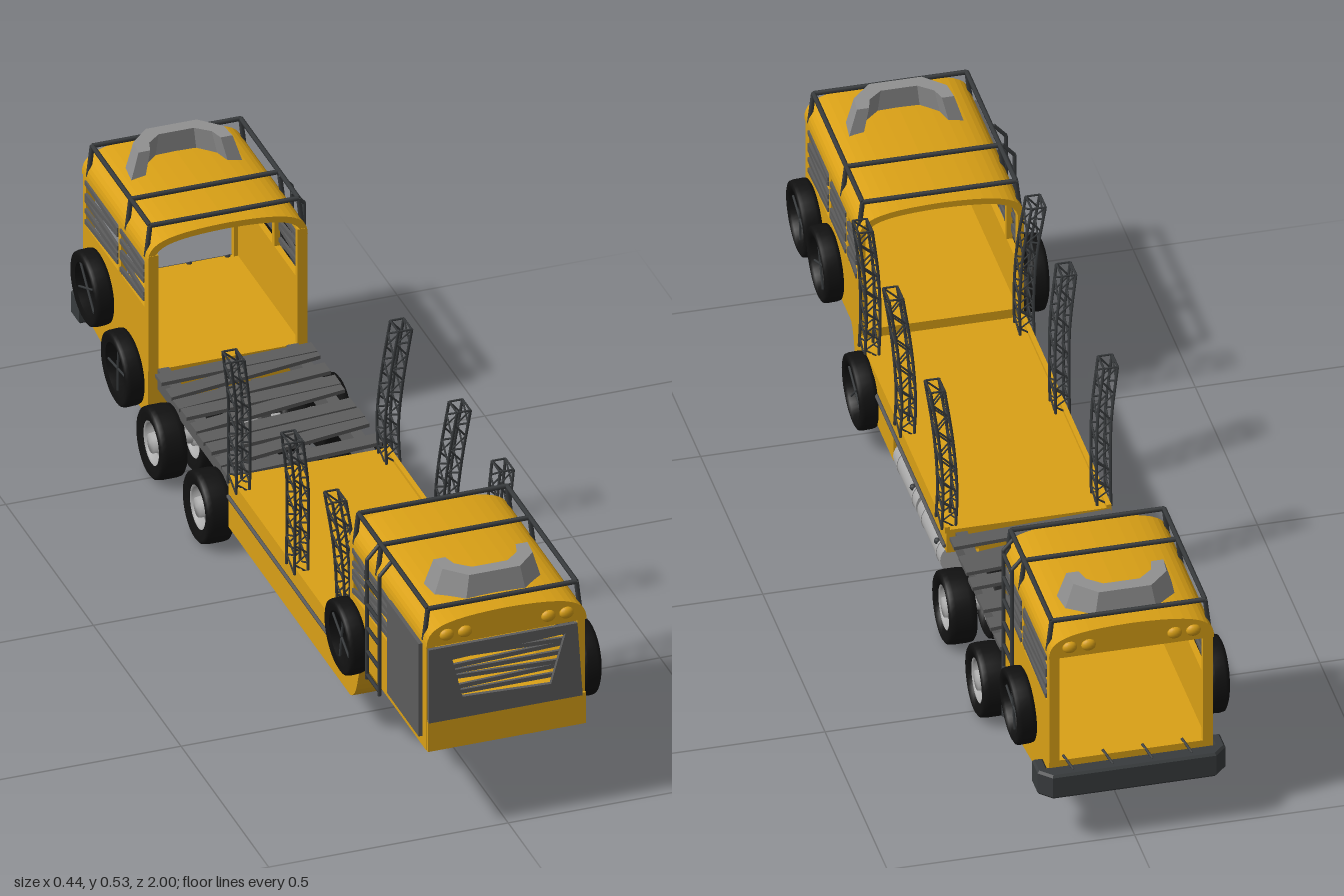
import * as THREE from 'three';
import { mergeGeometries } from 'three/addons/utils/BufferGeometryUtils.js';

const mat = (color) => new THREE.MeshStandardMaterial({ color, side: THREE.DoubleSide });
const YELLOW = mat(0xd9a016), STEEL = mat(0x5c5c5c), DARK = mat(0x383b3d), RUBBER = mat(0x111111), PALE = mat(0xaaaaaa);
const V = (x, y, z) => new THREE.Vector3(x, y, z);

export function createModel() {
  const model = new THREE.Group();
  const add = (name, geo, material) => {
    const m = new THREE.Mesh(geo, material);
    m.name = name;
    model.add(m);
    return m;
  };
  const box = (x0, x1, y0, y1, z0, z1) =>
    new THREE.BoxGeometry(x1 - x0, y1 - y0, z1 - z0).translate((x0 + x1) / 2, (y0 + y1) / 2, (z0 + z1) / 2);
  const rod = (a, b, r = 0.004, sides = 6) => {
    const d = b.clone().sub(a), g = new THREE.CylinderGeometry(r, r, d.length(), sides);
    g.applyQuaternion(new THREE.Quaternion().setFromUnitVectors(V(0, 1, 0), d.normalize()));
    return g.translate((a.x + b.x) / 2, (a.y + b.y) / 2, (a.z + b.z) / 2);
  };
  const poly = (pts) => new THREE.Shape(pts.map((p) => new THREE.Vector2(p[0], p[1])));
  const rect = (a, b, c, d) => [[a, c], [b, c], [b, d], [a, d]];
  // outline given as (z, y), extruded across x from x0 to x1
  const sideExtrude = (shape, x0, x1) =>
    new THREE.ExtrudeGeometry(shape, { depth: x1 - x0, bevelEnabled: false, curveSegments: 10 })
      .rotateY(-Math.PI / 2).translate(x1, 0, 0);

  // low deck with curved gooseneck running under the front cab
  const deck = new THREE.Shape();
  deck.moveTo(0.99, 0.19);
  deck.lineTo(0.63, 0.19);
  deck.bezierCurveTo(0.59, 0.18, 0.6, 0.09, 0.55, 0.077);
  [[0.28, 0.077], [0.28, 0.137], [-0.145, 0.137], [-0.145, 0.19], [0.55, 0.19], [0.55, 0.21], [0.99, 0.21]]
    .forEach((p) => deck.lineTo(p[0], p[1]));
  add('deck', sideExtrude(deck, -0.165, 0.165), YELLOW);
  add('lowerDeck', box(-0.165, 0.1, 0.077, 0.137, -0.145, 0.28), YELLOW);
  for (const s of [-1, 1]) {
    add('deckRim', box(s * 0.163 - 0.005, s * 0.163 + 0.005, 0.183, 0.197, -0.145, 0.55), YELLOW);
    add('deckRail', rod(V(s * 0.168, 0.15, -0.14), V(s * 0.168, 0.15, 0.53), 0.004), STEEL);
  }
  add('kingpin', mergeGeometries([
    new THREE.CylinderGeometry(0.008, 0.008, 0.03, 12).translate(0, 0.175, 0.93),
    new THREE.CylinderGeometry(0.03, 0.03, 0.006, 20).translate(0, 0.188, 0.93)]), PALE);

  // side tanks
  for (const z of [0.17, -0.025]) {
    add('tank', new THREE.CylinderGeometry(0.036, 0.036, 0.184, 24).rotateX(Math.PI / 2).translate(0.135, 0.101, z), PALE);
    for (const e of [-0.06, 0.06])
      add('tankBand', new THREE.CylinderGeometry(0.0375, 0.0375, 0.006, 24).rotateX(Math.PI / 2).translate(0.135, 0.101, z + e), PALE);
    add('tankCap', new THREE.SphereGeometry(0.007, 10, 8).translate(0.166, 0.12, z - 0.05), DARK);
  }

  // cab walls, with window holes
  const walls = (outline, windows) => {
    for (const s of [-1, 1]) {
      const shape = poly(outline);
      for (const [a, b] of windows) shape.holes.push(poly(rect(a, b, 0.315, 0.42)));
      add('sideWall', sideExtrude(shape, s * 0.16 - 0.006, s * 0.16 + 0.006), YELLOW);
      // crooked window slats
      for (const [a, b] of windows)
        for (let i = 0; i < 5; i++) {
          const y = 0.33 + i * 0.02, t = 0.006 * Math.sin(i * 2.3 + a * 9);
          const slat = poly([[a, y - 0.004 + t], [b, y - 0.004 - t], [b, y + 0.006 - t], [a, y + 0.006 + t]]);
          add('windowSlat', sideExtrude(slat, s * 0.166 - 0.003, s * 0.166 + 0.003), STEEL);
        }
    }
  };
  // arched roof shell, closed with a lamp panel at the outer end
  const roof = (z0, z1, dir) => {
    const arch = (close) => {
      const s = new THREE.Shape();
      s.moveTo(-0.167, 0.425);
      s.bezierCurveTo(-0.167, 0.465, -0.14, 0.483, 0, 0.485);
      s.bezierCurveTo(0.14, 0.483, 0.167, 0.465, 0.167, 0.425);
      if (!close) {
        s.lineTo(0.155, 0.425);
        s.bezierCurveTo(0.15, 0.455, 0.13, 0.47, 0, 0.472);
        s.bezierCurveTo(-0.13, 0.47, -0.15, 0.455, -0.155, 0.425);
      }
      return s;
    };
    const ext = (s, a, b) => new THREE.ExtrudeGeometry(s, { depth: b - a, bevelEnabled: false, curveSegments: 12 }).translate(0, 0, a);
    add('roof', ext(arch(false), z0, z1), YELLOW);
    const end = dir > 0 ? z1 : z0;
    add('lampPanel', ext(arch(true), end - 0.006, end + 0.006), YELLOW);
    for (const x of [-0.125, -0.087, 0.087, 0.125])
      add('lamp', new THREE.SphereGeometry(0.015, 16, 10).scale(1, 0.85, 0.6).translate(x, 0.448, end + dir * 0.006), YELLOW);

    // roof rack
    const a = z0 + 0.02, b = z1 - 0.02, bars = [];
    const cross = dir > 0 ? z0 + 0.15 : z1 - 0.13;
    for (const s of [-1, 1]) {
      bars.push(rod(V(s * 0.155, 0.498, a), V(s * 0.155, 0.498, b), 0.005));
      for (const z of [a, cross, b]) bars.push(rod(V(s * 0.155, 0.498, z), V(s * 0.163, 0.43, z), 0.005));
    }
    for (const z of [a, cross, b]) bars.push(rod(V(-0.155, 0.498, z), V(0.155, 0.498, z), 0.005));
    add('roofRack', mergeGeometries(bars), DARK);

    // U-shaped roof scoop, narrowing towards the top
    const u = new THREE.Shape();
    [[-0.12, -0.05], [-0.115, 0], [-0.065, 0.05], [0.065, 0.05], [0.115, 0], [0.12, -0.05],
      [0.09, -0.05], [0.08, -0.015], [0.045, 0.015], [-0.045, 0.015], [-0.08, -0.015], [-0.09, -0.05]]
      .forEach((p, i) => (i ? u.lineTo(p[0], p[1]) : u.moveTo(p[0], p[1])));
    const scoop = new THREE.ExtrudeGeometry(u, { depth: 0.07, bevelEnabled: false });
    const p = scoop.attributes.position;
    for (let i = 0; i < p.count; i++) {
      const k = 1 - 2.6 * p.getZ(i);
      p.setXY(i, p.getX(i) * k, p.getY(i) * k);
    }
    scoop.rotateX(-Math.PI / 2);
    if (dir > 0) scoop.rotateY(Math.PI);
    scoop.computeVertexNormals();
    add('roofScoop', scoop.translate(0, 0.461, dir * 0.882), mat(0x909090));
  };

  // front cab
  walls(rect(0.55, 0.985, 0.19, 0.43), [[0.57, 0.64], [0.655, 0.78], [0.795, 0.955]]);
  roof(0.55, 0.985, 1);
  add('frontWall', box(-0.165, 0.165, 0.19, 0.26, 0.975, 0.993), YELLOW);
  for (const s of [-1, 1]) add('frontPost', box(s * 0.157 - 0.008, s * 0.157 + 0.008, 0.26, 0.43, 0.97, 0.988), YELLOW);
  const plate = poly([[-0.165, 0.258], [0.156, 0.258], [0.145, 0.424], [-0.165, 0.424]]);
  plate.holes.push(poly([[-0.095, 0.305], [0.09, 0.297], [0.12, 0.405], [-0.116, 0.393]]));
  add('frontPlate', new THREE.ExtrudeGeometry(plate, { depth: 0.008, bevelEnabled: false }).translate(0, 0, 0.991), STEEL);
  for (let i = 0; i < 6; i++)
    add('frontSlat', box(-0.12, 0.12, -0.004, 0.005, -0.003, 0.003).rotateZ(0.04 * Math.sin(i * 2.1)).translate(0, 0.31 + i * 0.016, 0.986), STEEL);
  add('doorPlate', box(-0.176, -0.168, 0.215, 0.425, 0.79, 0.97), STEEL);

  // rear cab
  const base = [[-0.6, 0.075], [-0.71, 0.075], [-0.97, 0.115]];
  walls([...base, [-0.97, 0.43], [-0.6, 0.43]], [[-0.755, -0.62], [-0.955, -0.77]]);
  roof(-0.97, -0.6, -1);
  add('rearBase', sideExtrude(poly([...base, [-0.97, 0.18], [-0.6, 0.18]]), -0.16, 0.16), YELLOW);
  for (const s of [-1, 1])
    for (const z of [-0.968, -0.605]) add('cornerPost', box(s * 0.155 - 0.01, s * 0.155 + 0.01, 0.18, 0.44, z - 0.006, z + 0.006), YELLOW);
  const bumper = poly([[-0.19, 0.93], [-0.19, 0.975], [-0.165, 1], [0.165, 1], [0.19, 0.975], [0.19, 0.93], [0.168, 0.93], [0.168, 0.965], [-0.168, 0.965], [-0.168, 0.93]]);
  add('bumper', new THREE.ExtrudeGeometry(bumper, { depth: 0.045, bevelThickness: 0.005, bevelSize: 0.004, bevelOffset: -0.004, bevelSegments: 1 })
    .rotateX(-Math.PI / 2).translate(0, 0.115, 0), DARK);
  for (const x of [-0.12, -0.04, 0.04, 0.12])
    add('bumperStrut', rod(V(x, 0.165, -0.985), V(x + 0.015, 0.185, -0.96), 0.003), DARK);

  // ladders
  const ladder = (x, z0, z1, y0) => {
    const parts = [], s = Math.sign(x);
    for (const z of [z0, z1]) {
      parts.push(rod(V(x, y0, z), V(x, 0.47, z)), rod(V(x, 0.47, z), V(x - s * 0.025, 0.498, z)));
    }
    for (let y = y0 + 0.01; y < 0.47; y += 0.053) parts.push(rod(V(x, y, z0), V(x, y, z1)));
    add('ladder', mergeGeometries(parts), DARK);
  };
  ladder(0.176, -0.715, -0.645, 0.08);
  ladder(-0.185, 0.7, 0.77, 0.2);

  // open frame with crooked planks between the deck and the rear cab
  for (const s of [-1, 1]) add('frameRail', box(s * 0.135 - 0.012, s * 0.135 + 0.012, 0.137, 0.182, -0.6, -0.14), STEEL);
  for (let i = 0; i < 9; i++) {
    const t = 0.055 * Math.abs(Math.sin(i * 1.1 + 0.4)), z = -0.172 - i * 0.047;
    const plank = poly([[-0.165, z - 0.018 + t / 2], [0.165, z - 0.018 - t / 2], [0.165, z + 0.018 - t / 2], [-0.165, z + 0.018 + t / 2]].map((q) => [q[0], -q[1]]));
    add('plank', new THREE.ExtrudeGeometry(plank, { depth: 0.008, bevelEnabled: false }).rotateX(-Math.PI / 2).translate(0, 0.182 + (i % 3) * 0.002, -t / 4), STEEL);
  }

  // lattice posts, bowed outward at the top
  for (const s of [-1, 1])
    [[0.51, 0.49], [0.225, 0.245], [-0.108, -0.09]].forEach(([zb, zt]) => {
      const curve = new THREE.CatmullRomCurve3([V(s * 0.157, 0.185, zb), V(s * 0.155, 0.27, zb - 0.004), V(s * 0.16, 0.38, (zb + zt) / 2), V(s * 0.175, 0.497, zt)]);
      const corners = [[-1, -1], [1, -1], [1, 1], [-1, 1]], N = 12, bars = [];
      const at = (i, c) => curve.getPoint(i / N).add(V(corners[c % 4][0] * 0.014, 0, corners[c % 4][1] * 0.023));
      for (let i = 0; i < N; i++)
        for (let c = 0; c < 4; c++) {
          bars.push(rod(at(i, c), at(i + 1, c), 0.0032, 5));
          bars.push(rod(at(i, c + (i % 2)), at(i + 1, c + 1 - (i % 2)), 0.002, 4));
        }
      for (let c = 0; c < 4; c++) bars.push(rod(at(N, c), at(N, c + 1), 0.0025, 4));
      add('latticePost', mergeGeometries(bars), DARK);
    });

  // tyres: a lathed ring turned onto the x axis
  const ring = (pts, seg = 32) => new THREE.LatheGeometry(pts.map((q) => new THREE.Vector2(q[0], q[1])), seg).rotateZ(-Math.PI / 2);
  const tyre = (R, r, w) => ring([[r, -w * 0.8], [R * 0.9, -w], [R * 0.98, -w * 0.85], [R, -w * 0.5], [R, w * 0.5], [R * 0.98, w * 0.85], [R * 0.9, w], [r, w * 0.8], [r, -w * 0.8]]);

  // twin road wheels on two axles
  for (const z of [-0.24, -0.505]) {
    add('axle', rod(V(-0.19, 0.075, z), V(0.19, 0.075, z), 0.014, 16), PALE);
    add('differential', new THREE.SphereGeometry(0.032, 16, 12).translate(0, 0.075, z), PALE);
    for (const s of [-1, 1]) {
      add('axleBracket', box(s * 0.035 - 0.01, s * 0.035 + 0.01, 0.075, 0.16, z - 0.03, z + 0.03), STEEL);
      for (const x of [0.087, 0.172]) {
        add('wheelTyre', tyre(0.075, 0.046, 0.029), RUBBER).position.set(s * x, 0.075, z);
        const hub = add('wheelHub', ring([[0.046, 0.022], [0.04, 0.02], [0.036, 0.006], [0.022, 0.008], [0.02, 0.024], [0, 0.026]], 24), PALE);
        hub.position.set(s * x, 0.075, z);
        hub.rotation.y = s > 0 ? 0 : Math.PI;
      }
    }
  }

  // spare tyres strapped to the sides
  const spares = [[0.195, 0.27, 0.875], [0.195, 0.27, 0.71], [0.183, 0.12, 0.475], [0.195, 0.235, -0.84],
    [-0.195, 0.25, 0.61], [-0.195, 0.245, -0.84], [-0.19, 0.15, -0.68]];
  spares.forEach(([x, y, z], i) => {
    const g = new THREE.Group();
    g.name = 'spareTyre';
    g.add(new THREE.Mesh(tyre(0.078, 0.055, 0.02), RUBBER));
    for (const a of [0.4 + i, 1.7 + i]) {
      const d = V(0, Math.sin(a) * 0.07, Math.cos(a) * 0.07);
      g.add(new THREE.Mesh(rod(d, d.clone().negate(), 0.0025).translate(Math.sign(x) * 0.01, 0, 0), DARK));
    }
    g.position.set(x, y, z);
    g.rotation.z = -Math.sign(x) * 0.05;
    model.add(g);
  });
  return model;
}
